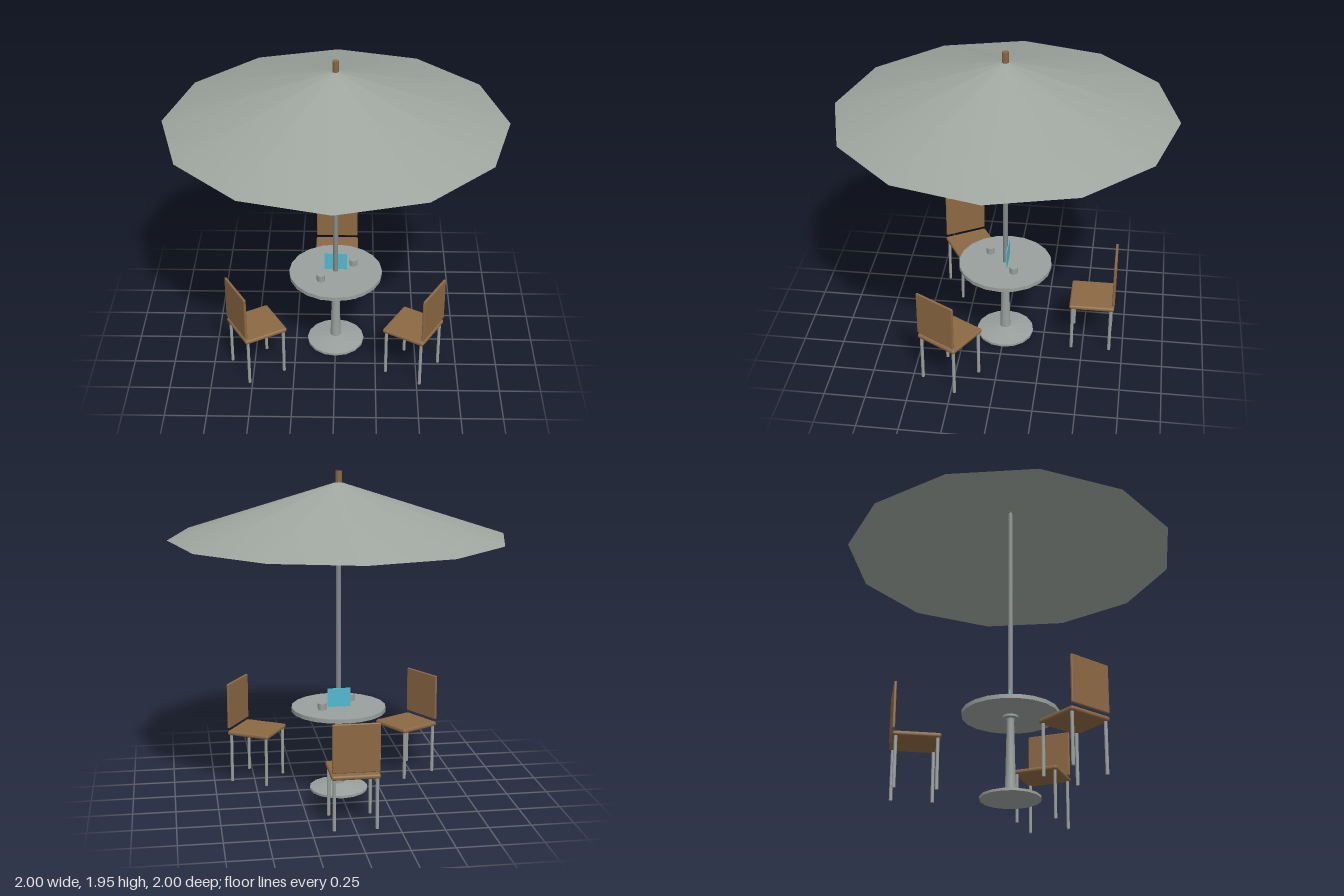
import * as THREE from 'three';
import { RoundedBoxGeometry } from 'three/addons/geometries/RoundedBoxGeometry.js';
import { toCreasedNormals } from 'three/addons/utils/BufferGeometryUtils.js';

const material = (name, color, side = THREE.FrontSide) => {
  const m = new THREE.MeshStandardMaterial({ color, side });
  m.name = name;
  return m;
};

export function createModel() {
  const canvas = material('grey canvas', 0x9ea69f, THREE.DoubleSide);
  const metal = material('grey metal', 0x9aa09e);
  const poleMetal = material('pole metal', 0x858c89);
  const wood = material('brown wood', 0x8c6843);
  const blue = material('blue card', 0x52b9cf);

  const model = new THREE.Group();
  model.name = 'patioSet';
  const add = (parent, name, geometry, mat, x = 0, y = 0, z = 0) => {
    const mesh = new THREE.Mesh(geometry, mat);
    mesh.name = name;
    mesh.position.set(x, y, z);
    parent.add(mesh);
    return mesh;
  };
  // Vertical cylinder placed by its bottom and top heights
  const post = (parent, name, rTop, rBottom, y0, y1, sides, mat, x = 0, z = 0) =>
    add(parent, name, new THREE.CylinderGeometry(rTop, rBottom, y1 - y0, sides), mat, x, (y0 + y1) / 2, z);

  // Parasol: open twelve-sided canopy, pole and finial
  add(model, 'canopy', new THREE.ConeGeometry(1, 0.325, 12, 1, true), canvas, 0, 1.7275, 0);
  post(model, 'pole', 0.015, 0.015, 0.5, 1.885, 8, poleMetal);
  post(model, 'finial', 0.02, 0.02, 1.88, 1.95, 6, wood);

  // Table: round top on a tapered pedestal with a shallow conical foot
  post(model, 'tableTop', 0.287, 0.287, 0.505, 0.53, 20, metal);
  const profile = [[0, 0], [0.178, 0], [0.178, 0.015], [0.045, 0.04], [0.033, 0.042],
    [0.031, 0.09], [0.022, 0.47], [0.025, 0.488], [0.048, 0.493], [0.048, 0.506]];
  const pedestal = new THREE.LatheGeometry(profile.map(([r, y]) => new THREE.Vector2(r, y)), 16);
  add(model, 'pedestal', toCreasedNormals(pedestal, 0.45), metal);

  // Items on the table
  post(model, 'cup', 0.026, 0.026, 0.53, 0.57, 8, metal, -0.088, 0.104);
  post(model, 'cup', 0.026, 0.026, 0.53, 0.57, 8, metal, 0.11, -0.066);
  add(model, 'tableCard', new THREE.BoxGeometry(0.138, 0.115, 0.006), blue, 0, 0.5875, -0.016);

  // Three chairs around the table, each facing the centre
  for (let i = 0; i < 3; i++) {
    const chair = new THREE.Group();
    chair.name = 'chair';
    add(chair, 'seat', new RoundedBoxGeometry(0.28, 0.028, 0.276, 2, 0.012), wood, 0, 0.315, -0.55);
    add(chair, 'backrest', new RoundedBoxGeometry(0.272, 0.285, 0.016, 2, 0.006), wood, 0, 0.487, -0.682);
    for (const x of [-0.122, 0.122]) {
      for (const z of [-0.668, -0.432]) post(chair, 'leg', 0.01, 0.01, 0, 0.305, 8, metal, x, z);
    }
    chair.rotation.y = i * Math.PI * 2 / 3;
    model.add(chair);
  }
  return model;
}
